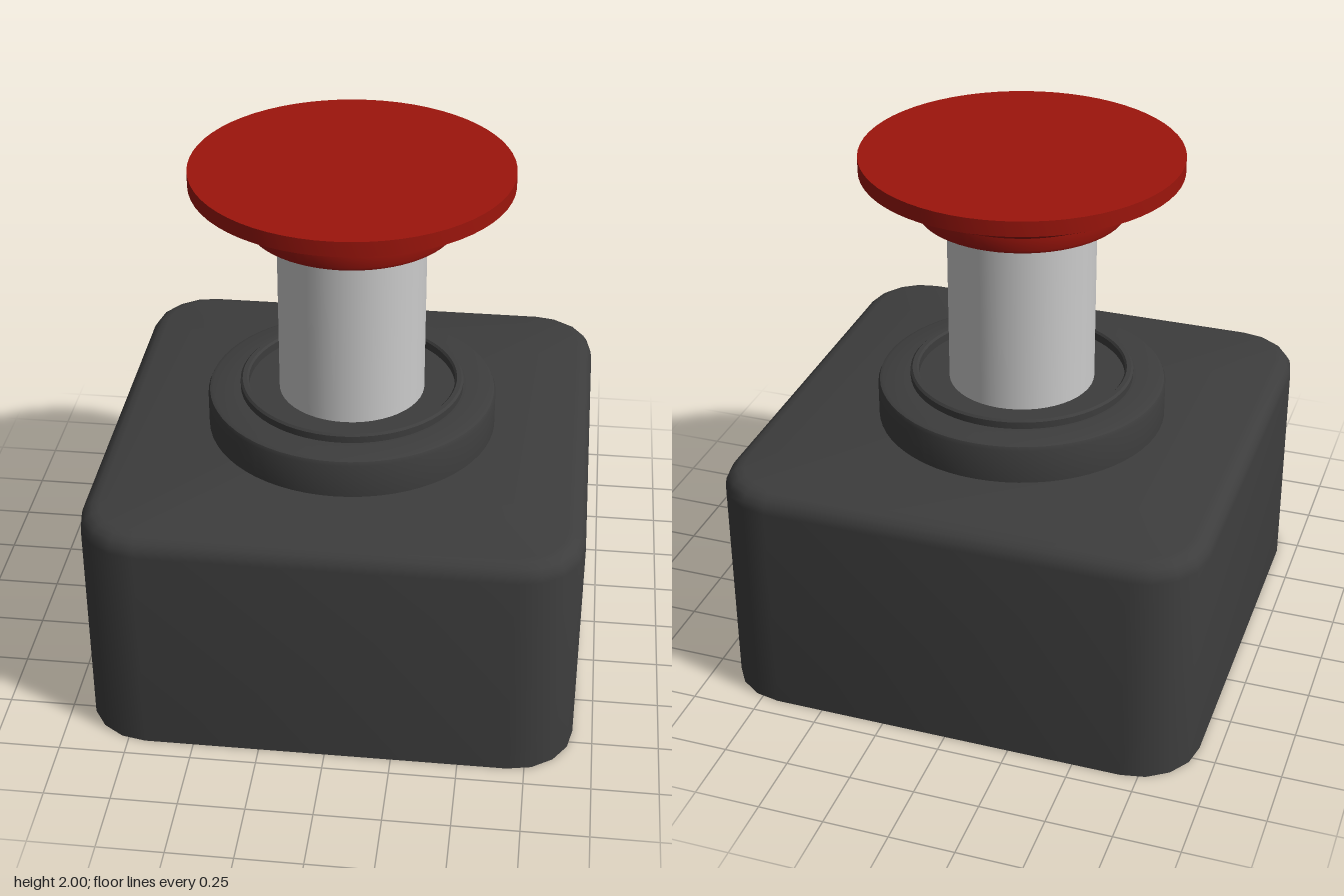
import * as THREE from 'three';
import { toCreasedNormals } from 'three/addons/utils/BufferGeometryUtils.js';

const CREASE = 0.53;

function material(color) {
  return new THREE.MeshStandardMaterial({ color, side: THREE.DoubleSide });
}

function lathe(name, profile, mat) {
  const points = profile.map(([r, y]) => new THREE.Vector2(r, y));
  const mesh = new THREE.Mesh(toCreasedNormals(new THREE.LatheGeometry(points, 64), CREASE), mat);
  mesh.name = name;
  return mesh;
}

// Square block with rounded corners, flat bottom and a rounded top edge
function housingGeometry(half, radius, height, bevel) {
  const cornerSteps = 4, bevelSteps = 4;
  const sections = [[0, 0, true], [0, 0]]; // [inset, y, collapsed to centre]
  for (let i = 0; i <= bevelSteps; i++) {
    const a = (i / bevelSteps) * Math.PI / 2;
    sections.push([bevel * (1 - Math.cos(a)), height - bevel * (1 - Math.sin(a))]);
  }
  sections.push([0, height, true]);

  const positions = [], index = [];
  const count = 4 * (cornerSteps + 1);
  for (const [inset, y, collapsed] of sections) {
    for (let c = 0; c < 4; c++) {
      const mid = (c + 0.5) * Math.PI / 2;
      const cx = Math.sign(Math.cos(mid)) * (half - radius);
      const cz = Math.sign(Math.sin(mid)) * (half - radius);
      for (let s = 0; s <= cornerSteps; s++) {
        const a = (c + s / cornerSteps) * Math.PI / 2;
        const r = radius - inset;
        const k = collapsed ? 0 : 1;
        positions.push(k * (cx + r * Math.cos(a)), y, k * (cz + r * Math.sin(a)));
      }
    }
  }
  for (let j = 0; j < sections.length - 1; j++) {
    for (let i = 0; i < count; i++) {
      const p = j * count + i, q = j * count + (i + 1) % count;
      if (!sections[j + 1][2]) index.push(q, p + count, q + count);
      if (!sections[j][2]) index.push(p, p + count, q);
    }
  }
  const geometry = new THREE.BufferGeometry();
  geometry.setAttribute('position', new THREE.Float32BufferAttribute(positions, 3));
  geometry.setIndex(index);
  return toCreasedNormals(geometry, CREASE);
}

export function createModel() {
  const group = new THREE.Group();
  group.name = 'pushButton';
  const dark = material(0x3d3d3d);
  const red = material(0x9c150c);
  const grey = material(0xcccccc);

  // Housing
  const housing = new THREE.Mesh(housingGeometry(0.925, 0.24, 0.925, 0.07), dark);
  housing.name = 'housing';
  group.add(housing);

  // Collar with a thin raised lip around the shaft
  group.add(lathe('collar', [
    [0.555, 0.92], [0.555, 1.06], [0.549, 1.074], [0.535, 1.08],
    [0.43, 1.08], [0.43, 1.107], [0.422, 1.115],
    [0.405, 1.115], [0.398, 1.107], [0.398, 1.075], [0.27, 1.075],
  ], dark));

  // Shaft
  const shaft = new THREE.Mesh(new THREE.CylinderGeometry(0.28, 0.28, 0.74, 48), grey);
  shaft.name = 'shaft';
  shaft.position.y = 1.42;
  group.add(shaft);

  // Mushroom cap
  group.add(lathe('cap', [
    [0, 1.772], [0.375, 1.772], [0.389, 1.778], [0.395, 1.79], [0.395, 1.838],
    [0.4, 1.84], [0.6, 1.942], [0.6, 2], [0, 2],
  ], red));

  return group;
}
